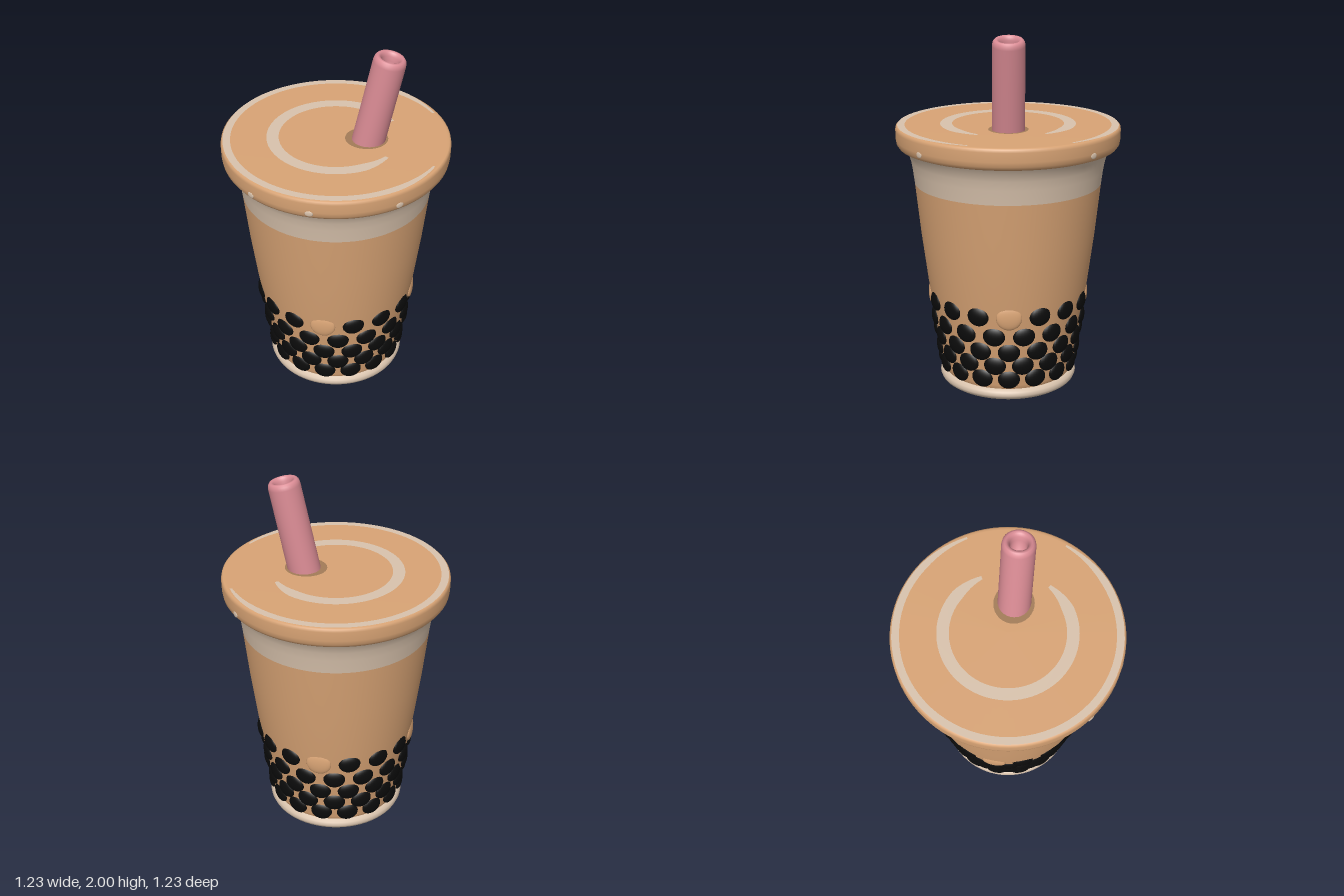
import * as THREE from 'three';

const mat = (name, color, side = THREE.FrontSide) => {
  const m = new THREE.MeshStandardMaterial({ color, side });
  m.name = name;
  return m;
};
const tea = mat('milk tea', 0xd9a475);
const cream = mat('cream', 0xd9c3ad);
const pink = mat('straw pink', 0xdb8c95);
const black = mat('pearl black', 0x0b0b0b);
const brown = mat('hole brown', 0xa37c58);

// Cup wall profile: [radius, height]
const WALL = [[0.362, 0.07], [0.376, 0.1], [0.425, 0.44], [0.45, 0.6], [0.485, 0.88], [0.515, 1.17]];

function wallRadius(y) {
  for (let i = 1; i < WALL.length; i++) {
    const [r0, y0] = WALL[i - 1], [r1, y1] = WALL[i];
    if (y <= y1) return r0 + (r1 - r0) * (y - y0) / (y1 - y0);
  }
  return WALL[WALL.length - 1][0];
}

function lathe(name, points, material, segments = 72) {
  const profile = points.map(([r, y]) => new THREE.Vector2(r, y));
  const mesh = new THREE.Mesh(new THREE.LatheGeometry(profile, segments), material);
  mesh.name = name;
  return mesh;
}

// Flat curved stroke with tapered ends, laid on the lid
function stroke(name, radius, width, startDeg, endDeg) {
  const n = 64, outer = [], inner = [];
  for (let i = 0; i <= n; i++) {
    const t = i / n;
    const a = THREE.MathUtils.degToRad(startDeg + (endDeg - startDeg) * t);
    const half = width / 2 * Math.min(1, 0.3 + 8 * Math.min(t, 1 - t));
    outer.push(new THREE.Vector2(Math.cos(a), Math.sin(a)).multiplyScalar(radius + half));
    inner.unshift(new THREE.Vector2(Math.cos(a), Math.sin(a)).multiplyScalar(radius - half));
  }
  const mesh = new THREE.Mesh(new THREE.ShapeGeometry(new THREE.Shape([...outer, ...inner])), cream);
  mesh.name = name;
  mesh.rotation.x = -Math.PI / 2;
  mesh.position.y = 1.493;
  return mesh;
}

export function createModel() {
  const model = new THREE.Group();
  model.name = 'bubbleTea';

  // Foot, cup wall, cream band and lid
  model.add(lathe('foot', [
    [0, 0], [0.2, 0.004], [0.34, 0.008], [0.365, 0.012], [0.383, 0.025], [0.39, 0.042],
    [0.385, 0.06], [0.372, 0.073], [0.35, 0.077], [0, 0.077]], cream));
  model.add(lathe('cupWall', WALL, tea));
  model.add(lathe('creamBand', [
    [0.515, 1.17], [0.525, 1.25], [0.534, 1.3], [0.547, 1.34], [0.568, 1.372]], cream));
  model.add(lathe('lid', [
    [0.53, 1.372], [0.575, 1.37], [0.597, 1.378], [0.609, 1.395], [0.613, 1.42], [0.614, 1.47],
    [0.611, 1.485], [0.603, 1.49], [0.59, 1.491], [0, 1.491]], tea, 96));

  // Swirl and edge highlight on the lid
  model.add(stroke('lidSwirl', 0.338, 0.065, 35, 331));
  model.add(stroke('lidEdgeStroke', 0.583, 0.04, 33, 339));

  // Small cream flecks on the lid's side
  for (const deg of [-35, -3, 41, 135]) {
    const a = THREE.MathUtils.degToRad(deg);
    const fleck = new THREE.Mesh(new THREE.SphereGeometry(1, 12, 8), cream);
    fleck.name = 'lidFleck';
    fleck.scale.set(0.022, 0.016, 0.004);
    fleck.position.set(Math.sin(a) * 0.612, 1.41, Math.cos(a) * 0.612);
    fleck.rotation.y = a;
    model.add(fleck);
  }

  // Staggered rows of pearls; the top row has four tea-coloured bumps
  const pearls = new THREE.Group();
  pearls.name = 'pearls';
  const ball = new THREE.SphereGeometry(1, 20, 14);
  const rows = [0.52, 0.405, 0.31, 0.225, 0.14];
  rows.forEach((y, row) => {
    for (let i = 0; i < 16; i++) {
      const a = (i + (row % 2) * 0.5) * Math.PI / 8;
      const bump = row === 0 && i % 4 === 0;
      const r = wallRadius(y) - 0.004;
      const pearl = new THREE.Mesh(ball, bump ? tea : black);
      pearl.name = bump ? 'teaBump' : 'pearl';
      pearl.scale.set(bump ? 0.07 : 0.061, bump ? 0.068 : 0.056, bump ? 0.018 : 0.024);
      pearl.position.set(Math.sin(a) * r, y, Math.cos(a) * r);
      pearl.rotation.y = a;
      pearls.add(pearl);
    }
  });
  model.add(pearls);

  // Straw hole and tilted hollow straw
  const hole = new THREE.Mesh(new THREE.CircleGeometry(1, 32), brown);
  hole.name = 'strawHole';
  hole.scale.set(0.115, 0.108, 1);
  hole.rotation.x = -Math.PI / 2;
  hole.position.set(0.165, 1.493, 0);
  model.add(hole);

  const straw = lathe('straw', [
    [0.089, 0], [0.087, 0.3], [0.086, 0.565], [0.083, 0.584], [0.074, 0.596], [0.064, 0.598],
    [0.053, 0.592], [0.046, 0.575], [0.044, 0.55], [0.042, 0.47], [0, 0.465]], pink, 40);
  straw.position.set(0.157, 1.4, 0);
  straw.rotation.z = -THREE.MathUtils.degToRad(12);
  model.add(straw);

  return model;
}
